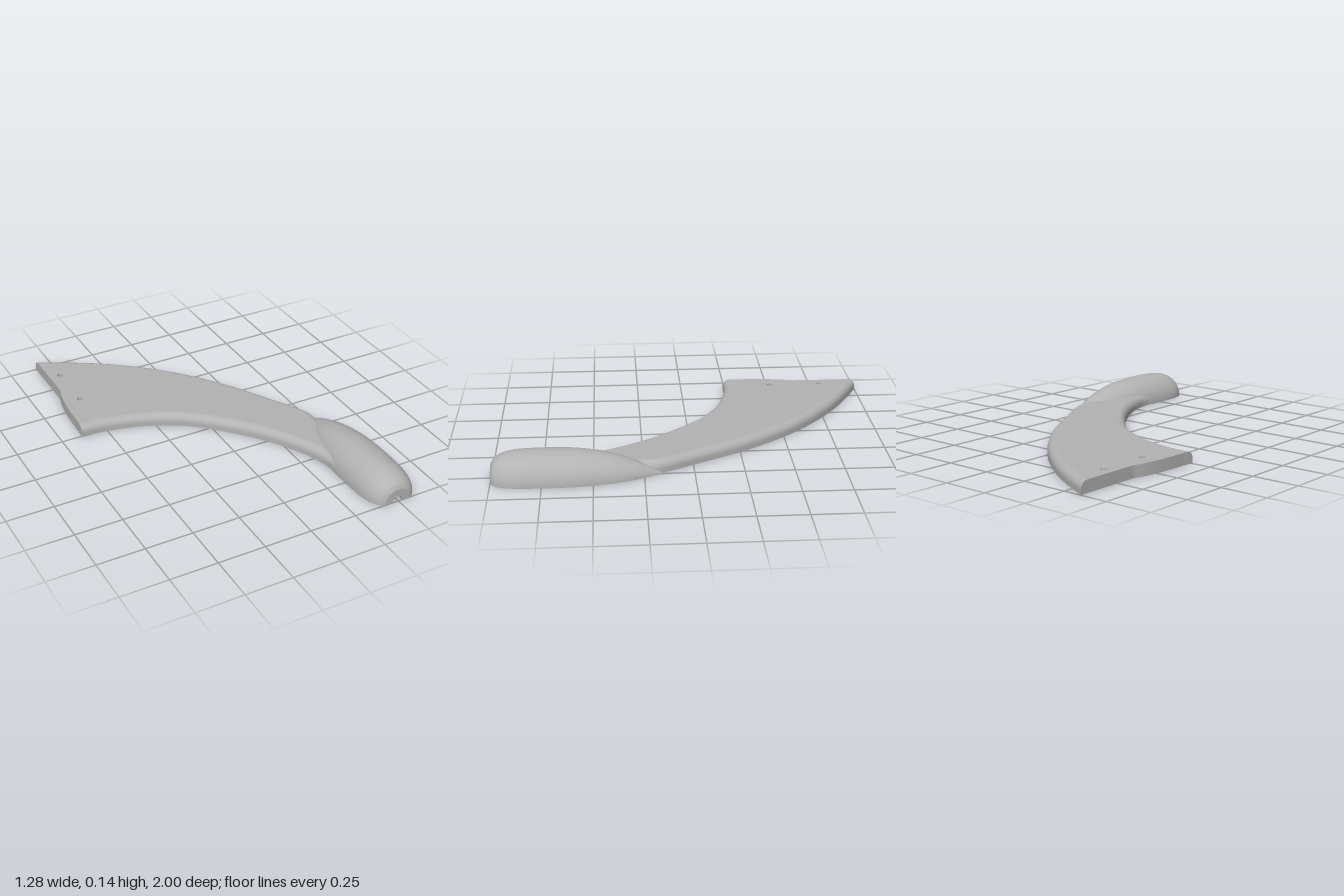
import * as THREE from 'three';

const H = 0.063, FILLET = 0.04, STEPS = 6;   // plate thickness and edge rounding
const GRIP_X = 0.495, SLOT_R = 0.029, SLOT_Z = 0.88;

const v2 = (a) => a.map(([x, z]) => new THREE.Vector2(x, z));
const smooth = (a, n) => new THREE.SplineCurve(v2(a)).getPoints(n);

// Flat face from plan points (x, z), facing up or down
function flatFace(points, holes, y, up) {
  const s = up ? -1 : 1;
  const flip = (p) => new THREE.Vector2(p.x, s * p.y);
  const shape = new THREE.Shape(points.map(flip));
  for (const h of holes) shape.holes.push(new THREE.Path(h.map(flip)));
  const g = new THREE.ShapeGeometry(shape);
  g.rotateX(s * Math.PI / 2);
  g.translate(0, y, 0);
  return g;
}

// Surface through rows of 3D points, running left to right and bottom to top
function loft(rows) {
  const n = rows[0].length, index = [];
  for (let i = 0; i < rows.length - 1; i++) {
    for (let j = 0; j < n - 1; j++) {
      const a = i * n + j, c = a + n;
      index.push(a, a + 1, c, a + 1, c + 1, c);
    }
  }
  const g = new THREE.BufferGeometry().setFromPoints(rows.flat());
  g.setIndex(index);
  g.computeVertexNormals();
  return g;
}

// Move a plan curve inward; its first point slides along the plate's end
function inset(curve, side, d, endDir) {
  return curve.map((p, i) => {
    const t = curve[Math.min(i + 1, curve.length - 1)].clone().sub(curve[Math.max(i - 1, 0)]).normalize();
    const n = new THREE.Vector2(-t.y * side, t.x * side);
    if (i === 0) return p.clone().addScaledVector(endDir, d / Math.max(0.5, n.dot(endDir)));
    return p.clone().addScaledVector(n, d);
  });
}

export function createModel() {
  const model = new THREE.Group();
  const grey = new THREE.MeshStandardMaterial({ color: 0xb3b3b3, side: THREE.DoubleSide });
  grey.name = 'grey';
  const add = (parent, name, geometry) => {
    const m = new THREE.Mesh(geometry, grey);
    m.name = name;
    parent.add(m);
    return m;
  };

  // Curved plate
  const plate = new THREE.Group();
  plate.name = 'curvedPlate';
  model.add(plate);
  const outer = smooth([[-0.6, -1], [-0.29, -0.825], [0, -0.585], [0.23, -0.3], [0.4, -0.01],
    [0.485, 0.145], [0.5, 0.22], [0.497, 0.32], [0.495, 0.42]], 40);
  const inner = smooth([[-0.64, -0.24], [-0.5, -0.232], [-0.3, -0.178], [-0.13, -0.09], [0, 0.02],
    [0.17, 0.215], [0.29, 0.41], [0.345, 0.56], [0.358, 0.66], [0.37, 0.74]], 40);
  const endEdge = smooth([[-0.6, -0.66], [-0.602, -0.63], [-0.616, -0.58], [-0.628, -0.5],
    [-0.635, -0.4], [-0.638, -0.3]], 16);

  // Rows of the rounded long edges, starting with the foot at y = 0
  const levels = [{ d: 0, y: 0 }];
  for (let k = 0; k <= STEPS; k++) {
    const a = k / STEPS * Math.PI / 2;
    levels.push({ d: FILLET * (1 - Math.cos(a)), y: H - FILLET + FILLET * Math.sin(a) });
  }
  const back = new THREE.Vector2(0, -1), front = new THREE.Vector2(0, 1);
  const outerRows = levels.map((l) => inset(outer, 1, l.d, front));
  const innerRows = levels.map((l) => inset(inner, -1, l.d, back));
  const lift = (row, i) => row.map((p) => new THREE.Vector3(p.x, levels[i].y, p.y));
  add(plate, 'outerEdge', loft(outerRows.map((r, i) => lift(r, i).reverse())));
  add(plate, 'innerEdge', loft(innerRows.map(lift)));

  // Flat end wall, following the rounded corners
  const up = (p, y) => new THREE.Vector3(p.x, y, p.y);
  const rim = [
    ...outerRows.slice(1).map((r, i) => up(r[0], levels[i + 1].y)),
    ...endEdge.map((p) => up(p, H)),
    ...innerRows.slice(1).map((r, i) => up(r[0], levels[i + 1].y)).reverse(),
  ];
  add(plate, 'endWall', loft([rim.map((p) => new THREE.Vector3(p.x, 0, p.z)), rim]));

  // Top and bottom, pierced by two screw holes
  const centres = [[-0.54, -0.78], [-0.54, -0.5]], holeR = 0.016;
  const holes = centres.map(([x, z]) => Array.from({ length: 24 }, (_, i) => {
    const a = i / 24 * Math.PI * 2;
    return new THREE.Vector2(x + holeR * Math.cos(a), z + holeR * Math.sin(a));
  }));
  const outline = (o, i) => [...o, ...v2([[0.48, 0.74]]), ...[...i].reverse(), ...[...endEdge].reverse()];
  add(plate, 'plateTop', flatFace(outline(outerRows.at(-1), innerRows.at(-1)), holes, H, true));
  add(plate, 'plateBottom', flatFace(outline(outer, inner), holes, 0, false));
  for (const [x, z] of centres) {
    add(plate, 'screwHole', new THREE.CylinderGeometry(holeR, holeR, H, 24, 1, true))
      .position.set(x, H / 2, z);
  }

  // Half-round grip, turned about the z axis
  const grip = new THREE.Group();
  grip.name = 'grip';
  grip.position.x = GRIP_X;
  model.add(grip);
  const profile = smooth([[0, 0.155], [0.033, 0.215], [0.066, 0.28], [0.092, 0.35], [0.114, 0.43],
    [0.13, 0.52], [0.139, 0.61], [0.142, 0.72], [0.14, 0.83], [0.134, 0.9], [0.12, 0.95],
    [0.097, 0.985], [0.07, 1]], 48);
  profile.forEach((p) => { p.x = Math.max(0, p.x); p.y = Math.min(1, p.y); });
  add(grip, 'gripDome', new THREE.LatheGeometry(profile, 40, Math.PI / 2, Math.PI).rotateX(Math.PI / 2));

  // Underside with the slot left open
  const slot = v2([[SLOT_R, 1], [SLOT_R, SLOT_Z], [-SLOT_R, SLOT_Z], [-SLOT_R, 1]]);
  const mirrored = profile.slice(1).reverse().map((p) => new THREE.Vector2(-p.x, p.y));
  add(grip, 'gripBottom', flatFace([...profile, ...slot, ...mirrored], [], 0, false));

  // Front face and the half-round slot behind it
  add(grip, 'gripFront', new THREE.RingGeometry(SLOT_R, 0.07, 32, 1, 0, Math.PI)).position.z = 1;
  const depth = 1 - SLOT_Z;
  add(grip, 'slotWall', new THREE.CylinderGeometry(SLOT_R, SLOT_R, depth, 24, 1, true, Math.PI / 2, Math.PI)
    .rotateX(Math.PI / 2)).position.z = 1 - depth / 2;
  add(grip, 'slotEnd', new THREE.CircleGeometry(SLOT_R, 24, 0, Math.PI)).position.z = SLOT_Z;

  return model;
}
